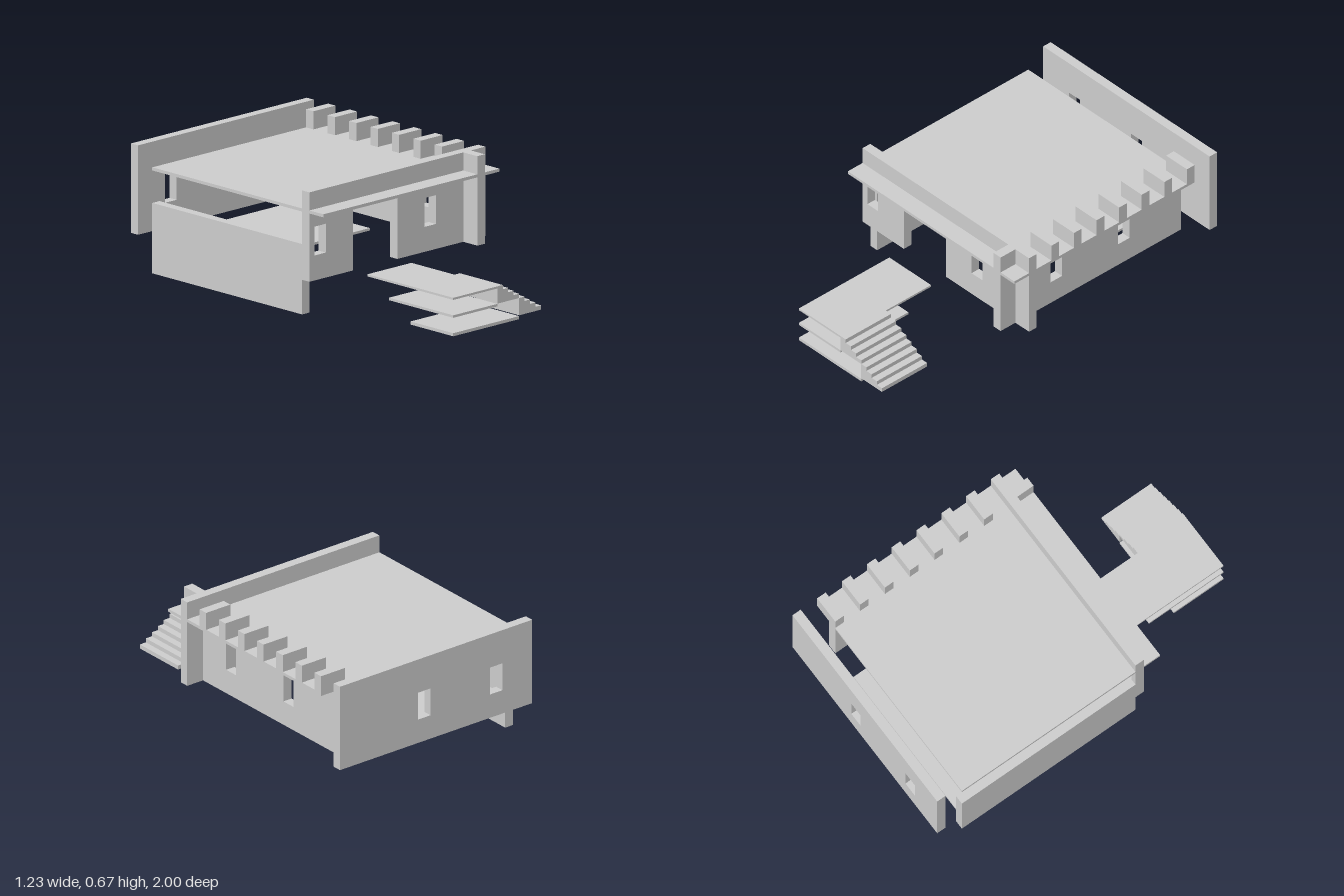
import * as THREE from 'three';

const material = new THREE.MeshStandardMaterial({ color: 0xcccccc, flatShading: true });

export function createModel() {
  const model = new THREE.Group();

  function add(name, geometry) {
    const mesh = new THREE.Mesh(geometry, material);
    mesh.name = name;
    model.add(mesh);
    return mesh;
  }

  // box given by its minimum and maximum on each axis
  function box(name, [x0, x1], [y0, y1], [z0, z1]) {
    const geometry = new THREE.BoxGeometry(x1 - x0, y1 - y0, z1 - z0);
    geometry.translate((x0 + x1) / 2, (y0 + y1) / 2, (z0 + z1) / 2);
    return add(name, geometry);
  }

  // outline in the xy plane with window holes, extruded along z from z0
  function wall(name, outline, windows, z0, z1) {
    const shape = new THREE.Shape(outline.map(([x, y]) => new THREE.Vector2(x, y)));
    for (const x of windows) {
      shape.holes.push(new THREE.Path([
        new THREE.Vector2(x - 0.04, 0.33), new THREE.Vector2(x - 0.04, 0.48),
        new THREE.Vector2(x + 0.04, 0.48), new THREE.Vector2(x + 0.04, 0.33),
      ]));
    }
    const geometry = new THREE.ExtrudeGeometry(shape, { depth: z1 - z0, bevelEnabled: false });
    geometry.translate(0, 0, z0);
    return add(name, geometry);
  }

  const W = 0.615, BASE = 0.2, TOP = 0.665;
  const ROOF = [0.555, 0.571];
  const BACK = -0.847, FRONT = 0.383;

  // roof slab
  box('roof', [-W, W], ROOF, [BACK, FRONT]);

  // front wall with a full-height doorway, rising past the roof as a parapet
  wall('frontWall', [
    [-W, BASE], [-0.31, BASE], [-0.31, ROOF[0]], [0, ROOF[0]],
    [0, BASE], [W, BASE], [W, TOP], [-W, TOP],
  ], [-0.54, 0.23], 0.23, 0.282);

  // freestanding back wall
  wall('backWall', [[-W, BASE], [W, BASE], [W, TOP], [-W, TOP]], [-0.385, 0.075], -1, -0.949);

  // side wall with windows; drawn along z, then turned so local x becomes -z
  const side = wall('sideWall', [
    [-FRONT, BASE], [-BACK, BASE], [-BACK, ROOF[0]], [-0.282, ROOF[0]], [-0.282, TOP], [-FRONT, TOP],
  ], [-0.004, 0.457], 0.461, 0.514);
  side.geometry.rotateY(Math.PI / 2);

  // low wall on the opposite side
  box('lowSideWall', [-W, -0.564], [0.02, 0.386], [BACK, 0.23]);

  // row of blocks along the roof edge
  for (let i = 0; i < 7; i++) {
    const z = BACK + i * 0.154;
    box('roofBlock', [0.461, W], [ROOF[1], TOP], [z, z + 0.053]);
  }

  // inner floor and the two floating steps below it
  box('floor', [-0.564, 0.306], [0.187, BASE], [BACK, -0.23]);
  box('innerStep', [-0.463, -0.31], [0.153, 0.164], [-0.692, -0.538]);
  box('innerStep', [-0.463, -0.31], [0.117, 0.128], [-0.538, -0.384]);

  // stacked landings outside
  box('upperLanding', [-0.308, 0], [0.189, BASE], [FRONT, 1]);
  box('middleLanding', [-0.308, 0], [0.096, 0.109], [0.538, 1]);
  box('lowerLanding', [-0.308, 0.153], [0, 0.016], [0.692, 1]);

  // two flights of four steps each, descending towards +x
  const RUN = 0.0383, RISE = 0.0225;
  function flight(name, x, top) {
    const bottom = top - 4 * RISE;
    const outline = [[x, bottom], [x + 4 * RUN, bottom]];
    for (let i = 3; i >= 0; i--) {
      outline.push([x + (i + 1) * RUN, top - i * RISE], [x + i * RUN, top - i * RISE]);
    }
    wall(name, outline, [], 0.692, 1);
  }
  flight('upperStairs', 0, BASE);
  flight('lowerStairs', 0.153, 0.11);

  return model;
}
